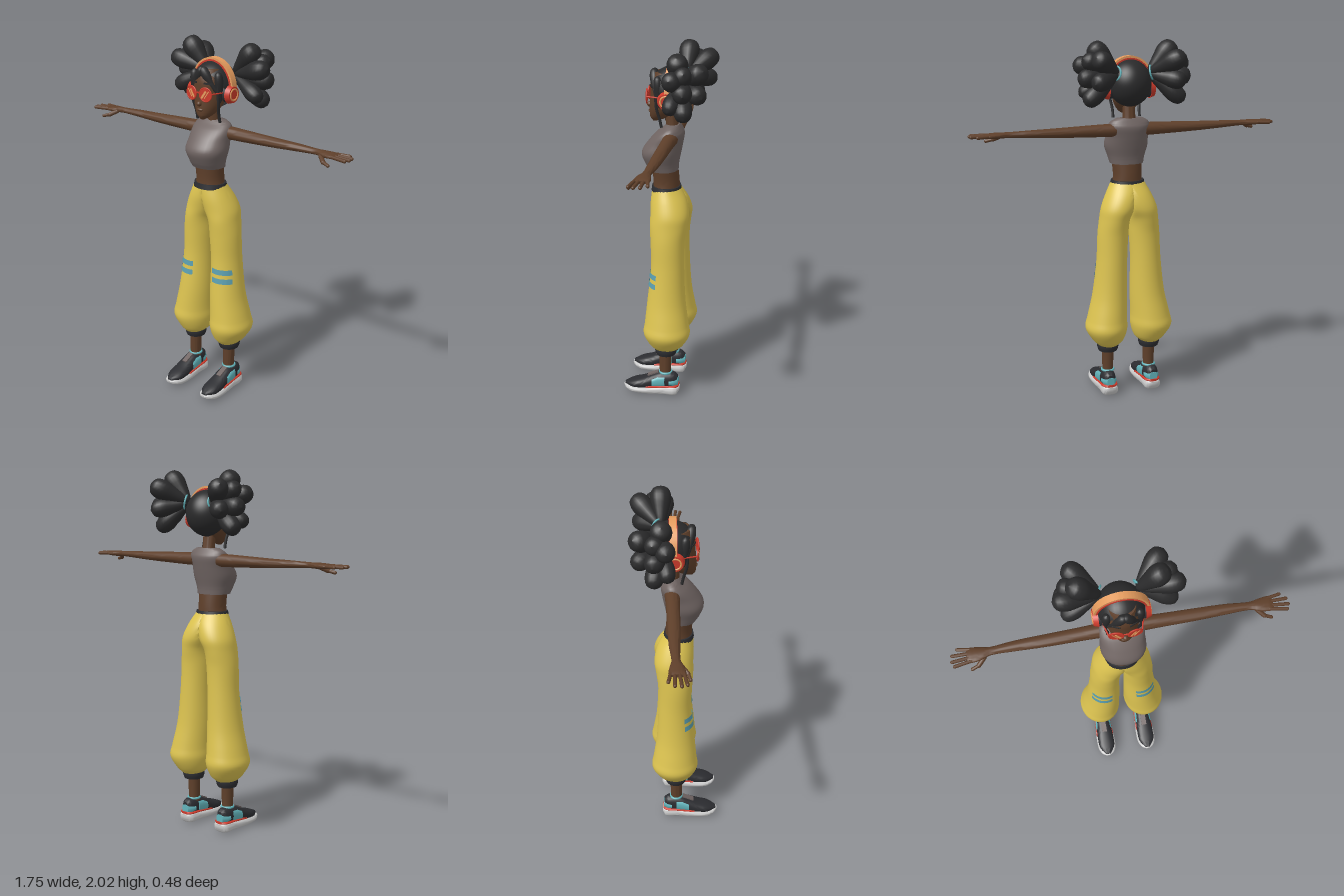
import * as THREE from 'three';
import { toCreasedNormals } from 'three/addons/utils/BufferGeometryUtils.js';

const material = (name, color, side = THREE.FrontSide) => {
  const m = new THREE.MeshStandardMaterial({ color, side });
  m.name = name;
  return m;
};
const V = (x, y, z) => new THREE.Vector3(x, y, z);

// Smoothly subdivide a list of cross-sections [t, c1, c2, r1, r2]
function smooth(rings, steps = 5) {
  const out = [];
  for (let i = 0; i < rings.length - 1; i++) {
    const p0 = rings[Math.max(i - 1, 0)], p1 = rings[i], p2 = rings[i + 1], p3 = rings[Math.min(i + 2, rings.length - 1)];
    for (let s = 0; s < steps; s++) {
      const u = s / steps;
      out.push(p1.map((_, k) => {
        if (k === 0) return p1[0] + (p2[0] - p1[0]) * u;
        const d = p2[0] - p1[0];
        const m1 = (p2[k] - p0[k]) / (p2[0] - p0[0]) * d, m2 = (p3[k] - p1[k]) / (p3[0] - p1[0]) * d;
        const a = u * u, b = a * u;
        return (2 * b - 3 * a + 1) * p1[k] + (b - 2 * a + u) * m1 + (3 * a - 2 * b) * p2[k] + (b - a) * m2;
      }));
    }
  }
  out.push(rings[rings.length - 1]);
  return out;
}

// Skin elliptical cross-sections along an axis, listed in ascending order
function loft(rings, { axis = 'y', n = 28, from = 0, to = Math.PI * 2, power = 1, clamp = false } = {}) {
  const pos = [], idx = [], closed = to - from > 6.28;
  const put = (t, p, q) => {
    const v = axis === 'y' ? [p, t, q] : axis === 'z' ? [p, q, t] : [t, p, q];
    if (clamp) v[0] = Math.max(v[0], 0);
    pos.push(...v);
  };
  const tri = (a, b, c) => (axis === 'y' ? idx.push(a, c, b) : idx.push(a, b, c));
  const bend = (v) => Math.sign(v) * Math.abs(v) ** power;
  for (const [t, c1, c2, r1, r2] of rings) {
    for (let j = 0; j <= n; j++) {
      const a = closed && j === n ? from : from + (to - from) * j / n;
      put(t, c1 + r1 * bend(Math.cos(a)), c2 + r2 * bend(Math.sin(a)));
    }
  }
  const w = n + 1, last = (rings.length - 1) * w;
  for (let i = 0; i < rings.length - 1; i++) {
    for (let j = 0; j < n; j++) {
      const a = i * w + j;
      tri(a, a + 1, a + w);
      tri(a + 1, a + w + 1, a + w);
    }
  }
  if (closed) {
    const c = rings.length * w, end = rings[rings.length - 1];
    put(rings[0][0], rings[0][1], rings[0][2]);
    put(end[0], end[1], end[2]);
    for (let j = 0; j < n; j++) {
      tri(c, j + 1, j);
      tri(c + 1, last + j, last + j + 1);
    }
  }
  const g = new THREE.BufferGeometry();
  g.setAttribute('position', new THREE.Float32BufferAttribute(pos, 3));
  g.setIndex(idx);
  return toCreasedNormals(g, 0.9);
}

export function createModel() {
  const skin = material('skin', 0x5e3f2a), hair = material('hair', 0x2a2a2b, THREE.DoubleSide);
  const yellow = material('trouser yellow', 0xdcc350), patchBlue = material('patch blue', 0x5c9fb0, THREE.DoubleSide);
  const grey = material('top grey', 0x6f6462), red = material('red', 0xcc3a2b), orange = material('orange', 0xe59c5e);
  const dark = material('charcoal', 0x2c2d31), sole = material('sole white', 0xc9c9c9), teal = material('teal', 0x62b3ba);

  const model = new THREE.Group();
  const add = (parent, name, geo, mat, p = [0, 0, 0], s = [1, 1, 1]) => {
    const m = new THREE.Mesh(geo, mat);
    m.name = name;
    m.position.set(...p);
    m.scale.set(...s);
    parent.add(m);
    return m;
  };
  const ball = (parent, name, mat, p, s) => add(parent, name, new THREE.SphereGeometry(1, 20, 14), mat, p, s);
  const aim = (mesh, a, b) => mesh.quaternion.setFromUnitVectors(V(0, 1, 0), b.clone().sub(a).normalize());
  const rod = (parent, name, mat, a, b, r) =>
    aim(add(parent, name, new THREE.CapsuleGeometry(r, a.distanceTo(b), 4, 10), mat, a.clone().lerp(b, 0.5).toArray()), a, b);
  // Teardrop lock of hair from a thin root to a round tip
  const lock = (parent, name, a, b, r) => {
    const L = a.distanceTo(b);
    const pts = new THREE.SplineCurve([[0, 0], [0.4, 0.12], [0.75, 0.42], [1, 0.7], [0.75, 0.92], [0, 1]]
      .map(([x, y]) => new THREE.Vector2(x * r, y * L))).getPoints(16);
    pts.forEach((p) => { p.x = Math.max(p.x, 0); });
    aim(add(parent, name, new THREE.LatheGeometry(pts, 16), hair, a.toArray()), a, b);
  };

  // Torso, top and waistband
  add(model, 'midriff', loft(smooth([[1.21, 0, 0.007, 0.088, 0.075], [1.28, 0, 0.007, 0.08, 0.072], [1.37, 0, 0.015, 0.088, 0.07]])), skin);
  add(model, 'cropTop', loft(smooth([[1.343, 0, 0.02, 0.093, 0.08], [1.38, 0, 0.03, 0.102, 0.092], [1.44, 0, 0.033, 0.12, 0.107],
    [1.5, 0, 0.01, 0.117, 0.095], [1.55, 0, -0.015, 0.119, 0.075], [1.58, 0, -0.027, 0.105, 0.048], [1.597, 0, -0.03, 0.075, 0.034]]), { power: 0.9 }), grey);
  add(model, 'waistband', loft([[1.222, 0, 0.005, 0.099, 0.084], [1.25, 0, 0.006, 0.093, 0.079]]), dark);

  // Head and neck
  add(model, 'neck', loft([[1.56, 0, -0.03, 0.04, 0.036], [1.62, 0, -0.022, 0.034, 0.033], [1.72, 0, -0.01, 0.036, 0.036]]), skin);
  add(model, 'head', loft(smooth([[1.612, 0, 0.068, 0.012, 0.012], [1.63, 0, 0.05, 0.038, 0.043], [1.66, 0, 0.03, 0.062, 0.067],
    [1.7, 0, 0.01, 0.08, 0.086], [1.76, 0, -0.005, 0.09, 0.097], [1.82, 0, -0.01, 0.093, 0.1], [1.88, 0, -0.01, 0.07, 0.08]])), skin);
  ball(model, 'nose', skin, [0, 1.7, 0.097], [0.014, 0.014, 0.017]);
  ball(model, 'lips', skin, [0, 1.667, 0.092], [0.022, 0.009, 0.011]);

  // Hair cap, open towards the face
  const cap = add(model, 'hairCap', new THREE.SphereGeometry(1, 36, 24, 0, Math.PI * 2, 0, 1.95).rotateX(-Math.PI / 3),
    hair, [0, 1.785, -0.03], [0.118, 0.127, 0.126]);
  cap.updateMatrix();
  add(model, 'glassesBridge', new THREE.BoxGeometry(0.03, 0.007, 0.006), red, [0, 1.762, 0.108]);

  // Headphone band: an orange arch over a red liner
  const arch = (name, mat, rx, ry, thick, depth) => {
    const s = new THREE.Shape();
    s.absellipse(0, 0, rx, ry, 0, Math.PI, false);
    s.absellipse(0, 0, rx - thick, ry - thick, Math.PI, 0, true);
    const g = new THREE.ExtrudeGeometry(s, { depth, bevelEnabled: false, curveSegments: 32 });
    add(model, name, toCreasedNormals(g, 0.6), mat, [0, 1.77, -0.025 - depth / 2]);
  };
  arch('headband', orange, 0.14, 0.16, 0.013, 0.038);
  arch('headbandLiner', red, 0.129, 0.149, 0.009, 0.044);

  // Trouser leg cross-sections, pressed against the middle plane at the hips
  const legRings = smooth([[0.3, 0.125, -0.012, 0.058, 0.072], [0.33, 0.125, -0.015, 0.088, 0.1], [0.4, 0.135, -0.018, 0.118, 0.132],
    [0.46, 0.13, -0.017, 0.112, 0.125], [0.6, 0.112, -0.013, 0.098, 0.108], [0.8, 0.1, -0.017, 0.086, 0.093], [0.95, 0.092, -0.015, 0.086, 0.095],
    [1.04, 0.082, -0.018, 0.085, 0.103], [1.1, 0.06, -0.022, 0.098, 0.107], [1.17, 0.03, -0.012, 0.1, 0.1], [1.24, 0, 0.005, 0.094, 0.078]]);
  const legAt = (y, grow) => {
    const i = legRings.findIndex((r) => r[0] > y), a = legRings[i - 1], b = legRings[i];
    return a.map((v, k) => v + (b[k] - v) * (y - a[0]) / (b[0] - a[0]) + (k > 2 ? grow : 0));
  };

  for (const side of [1, -1]) {
    const half = new THREE.Group();
    half.name = side > 0 ? 'leftSide' : 'rightSide';
    half.scale.x = side;
    model.add(half);

    // Leg with knee stripes
    add(half, 'trouserLeg', loft(legRings, { n: 40, clamp: true }), yellow);
    for (const y of [0.74, 0.688]) {
      add(half, 'kneeStripe', loft([0, 0.01, 0.02, 0.03].map((d) => legAt(y + d, 0.004)), { n: 16, from: 0.55, to: 1.93 }), patchBlue);
    }
    add(half, 'trouserCuff', loft(smooth([[0.262, 0.125, -0.012, 0.054, 0.056], [0.285, 0.125, -0.012, 0.061, 0.064], [0.312, 0.125, -0.012, 0.059, 0.064]], 3)), dark);
    add(half, 'ankle', loft([[0.09, 0.125, -0.01, 0.032, 0.034], [0.16, 0.125, -0.008, 0.031, 0.033], [0.29, 0.125, -0.01, 0.036, 0.036]]), skin);

    // Shoe
    const shoe = new THREE.Group();
    shoe.name = 'shoe';
    shoe.position.x = 0.13;
    half.add(shoe);
    const run = { axis: 'z', power: 0.7 };
    add(shoe, 'shoeSole', loft(smooth([[-0.092, 0, 0.042, 0.025, 0.012], [-0.075, 0, 0.033, 0.045, 0.029], [0, 0, 0.03, 0.047, 0.028],
      [0.1, 0, 0.026, 0.057, 0.024], [0.18, 0, 0.027, 0.055, 0.019], [0.22, 0, 0.034, 0.035, 0.013], [0.235, 0, 0.038, 0.012, 0.006]], 4), run), sole);
    add(shoe, 'shoeUpper', loft(smooth([[-0.082, 0, 0.09, 0.02, 0.035], [-0.06, 0, 0.09, 0.036, 0.05], [-0.02, 0, 0.09, 0.042, 0.054], [0.03, 0, 0.086, 0.045, 0.05],
      [0.07, 0, 0.075, 0.047, 0.043], [0.12, 0, 0.062, 0.05, 0.034], [0.18, 0, 0.053, 0.046, 0.023], [0.228, 0, 0.047, 0.014, 0.008]], 4),
    { axis: 'z', power: 0.85 }), dark);
    add(shoe, 'shoeRedStripe', loft(smooth([[-0.089, 0, 0.062, 0.022, 0.007], [-0.07, 0, 0.062, 0.044, 0.008], [0, 0, 0.06, 0.05, 0.008], [0.1, 0, 0.05, 0.054, 0.007]], 3), run), red);
    add(shoe, 'shoeSidePanel', loft([[-0.01, 0, 0.09, 0.046, 0.04], [0.03, 0, 0.086, 0.049, 0.04], [0.065, 0, 0.077, 0.05, 0.032]], run), teal);
    add(shoe, 'shoeHeelPanel', loft([[-0.085, 0, 0.085, 0.022, 0.025], [-0.06, 0, 0.085, 0.04, 0.026], [-0.035, 0, 0.085, 0.045, 0.02]], run), teal);
    add(shoe, 'shoeCollar', new THREE.TorusGeometry(0.033, 0.007, 8, 24).rotateX(Math.PI / 2), teal, [-0.004, 0.14, -0.01]);
    add(shoe, 'shoeTongue', new THREE.BoxGeometry(0.03, 0.008, 0.07), grey, [0, 0.124, 0.062]).rotation.x = 0.42;

    // Arm with palm, fingers and thumb
    add(half, 'arm', loft(smooth([[0.085, 1.533, -0.03, 0.036, 0.04], [0.2, 1.533, -0.028, 0.033, 0.036], [0.4, 1.533, -0.026, 0.026, 0.033], [0.55, 1.535, -0.025, 0.02, 0.028],
      [0.67, 1.536, -0.02, 0.015, 0.022], [0.72, 1.535, -0.016, 0.016, 0.035], [0.77, 1.535, -0.016, 0.013, 0.042], [0.79, 1.535, -0.016, 0.008, 0.036]]),
    { axis: 'x', n: 24 }), skin);
    for (const [x, z0, z1] of [[0.858, 0.015, 0.03], [0.868, -0.005, 0.004], [0.864, -0.027, -0.028], [0.835, -0.046, -0.058]]) {
      rod(half, 'finger', skin, V(0.77, 1.536, z0), V(x, 1.534, z1), 0.009);
    }
    rod(half, 'thumb', skin, V(0.705, 1.528, 0.005), V(0.74, 1.508, 0.035), 0.012);
    rod(half, 'thumbTip', skin, V(0.74, 1.508, 0.035), V(0.775, 1.499, 0.046), 0.009);

    // Puff of hair locks held by a tie
    const root = V(0.085, 1.84, -0.085);
    for (const [x, y, z, r] of [[0.235, 2.0, -0.085, 0.056], [0.245, 1.94, -0.225, 0.055], [0.325, 1.9, -0.06, 0.052], [0.315, 1.82, -0.13, 0.052],
      [0.28, 1.69, -0.13, 0.05], [0.25, 1.8, -0.22, 0.05], [0.29, 1.73, -0.05, 0.045], [0.29, 1.93, -0.13, 0.05]]) {
      lock(half, 'hairLock', root, V(x, y, z), r);
    }
    const tie = add(half, 'hairTie', new THREE.TorusGeometry(0.037, 0.005, 8, 24), teal, [0.102, 1.845, -0.097]);
    tie.lookAt(0.3 * side + 0.102 * (1 - side) / 1, 1.9, -0.25);
    tie.quaternion.setFromUnitVectors(V(0, 0, 1), V(0.8, 0.2, -0.5).normalize());

    // Fringe, side lock and brow
    lock(half, 'fringe', V(0.085, 1.75, 0.045), V(-0.005, 1.893, 0.075), 0.026);
    lock(half, 'sideFringe', V(0.088, 1.7, 0.03), V(0.08, 1.87, 0.04), 0.024);
    const strand = new THREE.CatmullRomCurve3([V(0.088, 1.8, 0.05), V(0.086, 1.7, 0.045), V(0.077, 1.64, 0.03), V(0.077, 1.595, 0.02)]);
    add(half, 'sideStrand', new THREE.TubeGeometry(strand, 16, 0.008, 8), hair);
    add(half, 'eyebrow', new THREE.BoxGeometry(0.042, 0.009, 0.008), hair, [0.043, 1.808, 0.08]).rotation.set(0, 0.45, -0.1);

    // Round glasses with pale streaks
    const glasses = new THREE.Group();
    glasses.name = 'glasses';
    glasses.position.set(0.047, 1.755, 0.104);
    glasses.rotation.y = 0.15;
    half.add(glasses);
    add(glasses, 'lens', new THREE.CylinderGeometry(0.036, 0.036, 0.006, 28).rotateX(Math.PI / 2), red);
    add(glasses, 'lensRim', new THREE.TorusGeometry(0.036, 0.004, 8, 28), red);
    for (const [x, w] of [[-0.009, 0.011], [0.008, 0.005]]) {
      add(glasses, 'lensStreak', new THREE.BoxGeometry(w, 0.048, 0.002), orange, [x, 0, 0.004]).rotation.z = -0.6;
    }
    rod(half, 'glassesArm', red, V(0.083, 1.76, 0.097), V(0.108, 1.76, 0.0), 0.004);

    // Headphone cup
    const disc = (r0, r1, h) => new THREE.CylinderGeometry(r0, r1, h, 28).rotateZ(-Math.PI / 2);
    add(half, 'earPad', disc(0.046, 0.046, 0.025), dark, [0.108, 1.748, -0.015]);
    add(half, 'earCup', disc(0.042, 0.051, 0.026), red, [0.13, 1.748, -0.015]);
    add(half, 'earCupRing', new THREE.TorusGeometry(0.03, 0.005, 8, 28).rotateY(Math.PI / 2), orange, [0.142, 1.748, -0.015]);
  }
  return model;
}
